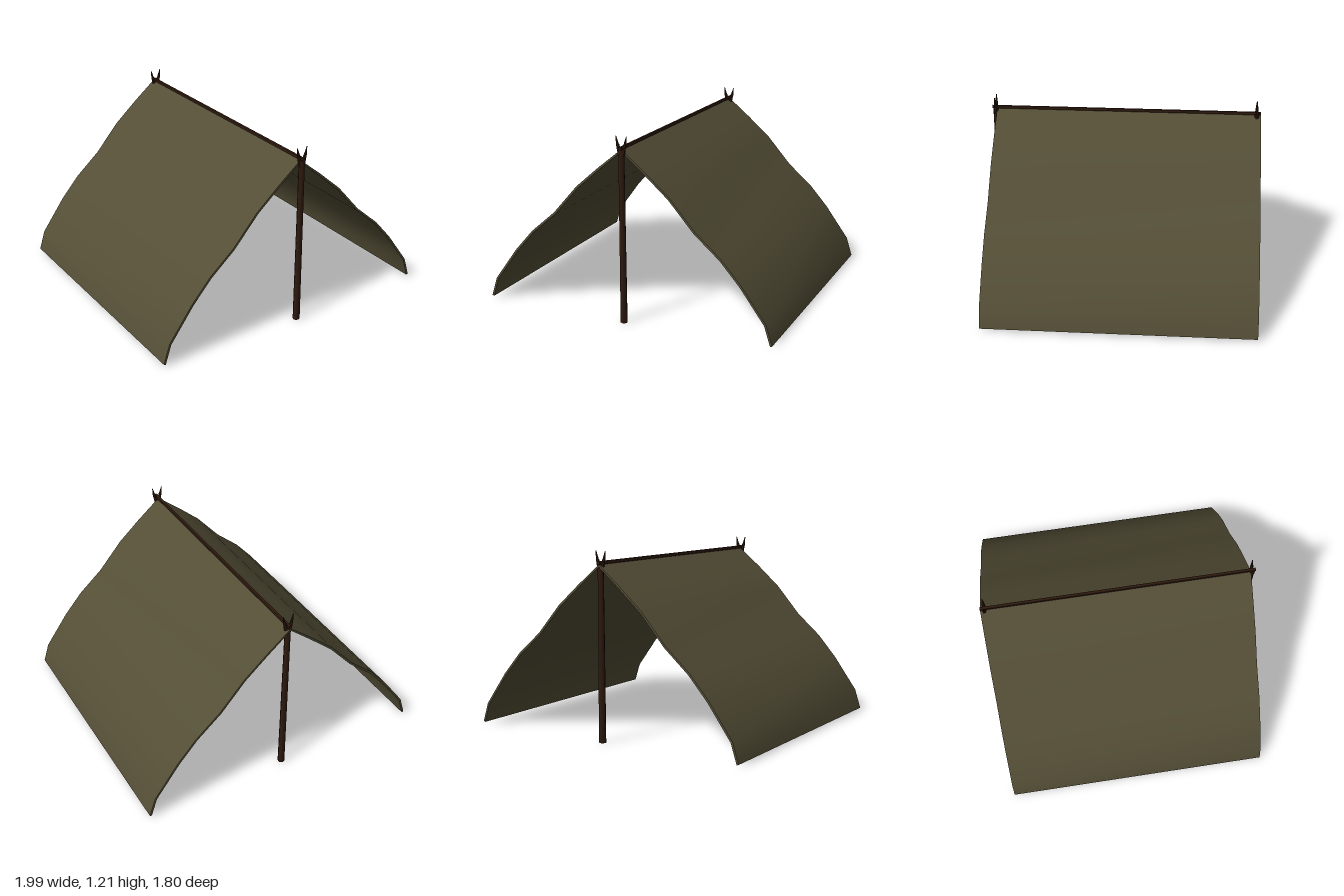
import * as THREE from 'three';
import { toCreasedNormals } from 'three/addons/utils/BufferGeometryUtils.js';

const canvas = new THREE.MeshStandardMaterial({ color: 0x544e36, roughness: 1, side: THREE.DoubleSide });
const wood = new THREE.MeshStandardMaterial({ color: 0x2e1a0e, roughness: 1 });

// Tapered round stick from a to b
function stick(name, a, b, rA, rB, sides = 8) {
  const from = new THREE.Vector3(...a), to = new THREE.Vector3(...b);
  const dir = to.clone().sub(from);
  const geo = toCreasedNormals(new THREE.CylinderGeometry(rB, rA, dir.length(), sides, 4), 0.9);
  const mesh = new THREE.Mesh(geo, wood);
  mesh.name = name;
  mesh.position.copy(from).add(to).multiplyScalar(0.5);
  mesh.quaternion.setFromUnitVectors(new THREE.Vector3(0, 1, 0), dir.normalize());
  return mesh;
}

// Sagging sheet draped over the ridge, with a little thickness
function tarp() {
  const half = [[0, 1.13], [0.16, 1.0], [0.32, 0.86], [0.49, 0.667], [0.66, 0.52], [0.79, 0.373], [0.953, 0.15], [0.995, 0.02]];
  const line = [
    ...half.slice(1).reverse().map(([x, y]) => new THREE.Vector2(-x, y)),
    ...half.map(([x, y]) => new THREE.Vector2(x, y)),
  ];
  const t = 0.014;
  const inner = line.map((p, i) => {
    const a = line[Math.max(i - 1, 0)], b = line[Math.min(i + 1, line.length - 1)];
    const d = b.clone().sub(a).normalize();
    return new THREE.Vector2(p.x + d.y * t, p.y - d.x * t);
  });
  const shape = new THREE.Shape([...line, ...inner.reverse()]);
  const geo = new THREE.ExtrudeGeometry(shape, { depth: 1.77, bevelEnabled: false });
  geo.translate(0, 0, -0.9);
  const mesh = new THREE.Mesh(toCreasedNormals(geo, 0.6), canvas);
  mesh.name = 'tarp';
  return mesh;
}

// Upright pole with a forked top that cradles the ridge
function forkedPole(name, z) {
  const group = new THREE.Group();
  group.name = name;
  const x = 0.005;
  group.add(stick('post', [x, 0.005, z], [x, 1.13, z], 0.023, 0.019));
  for (const s of [-1, 1]) {
    group.add(stick('forkProng', [x + s * 0.006, 1.09, z], [x + s * 0.024, 1.16, z], 0.014, 0.01, 6));
    group.add(stick('forkTip', [x + s * 0.024, 1.155, z], [x + s * 0.036, 1.215, z], 0.01, 0.002, 6));
  }
  return group;
}

export function createModel() {
  const model = new THREE.Group();
  model.name = 'ridgeTent';
  model.add(
    tarp(),
    forkedPole('frontPole', 0.877),
    forkedPole('backPole', -0.873),
    stick('ridgePole', [0.005, 1.14, -0.9], [0.005, 1.14, 0.9], 0.012, 0.012),
  );
  return model;
}
